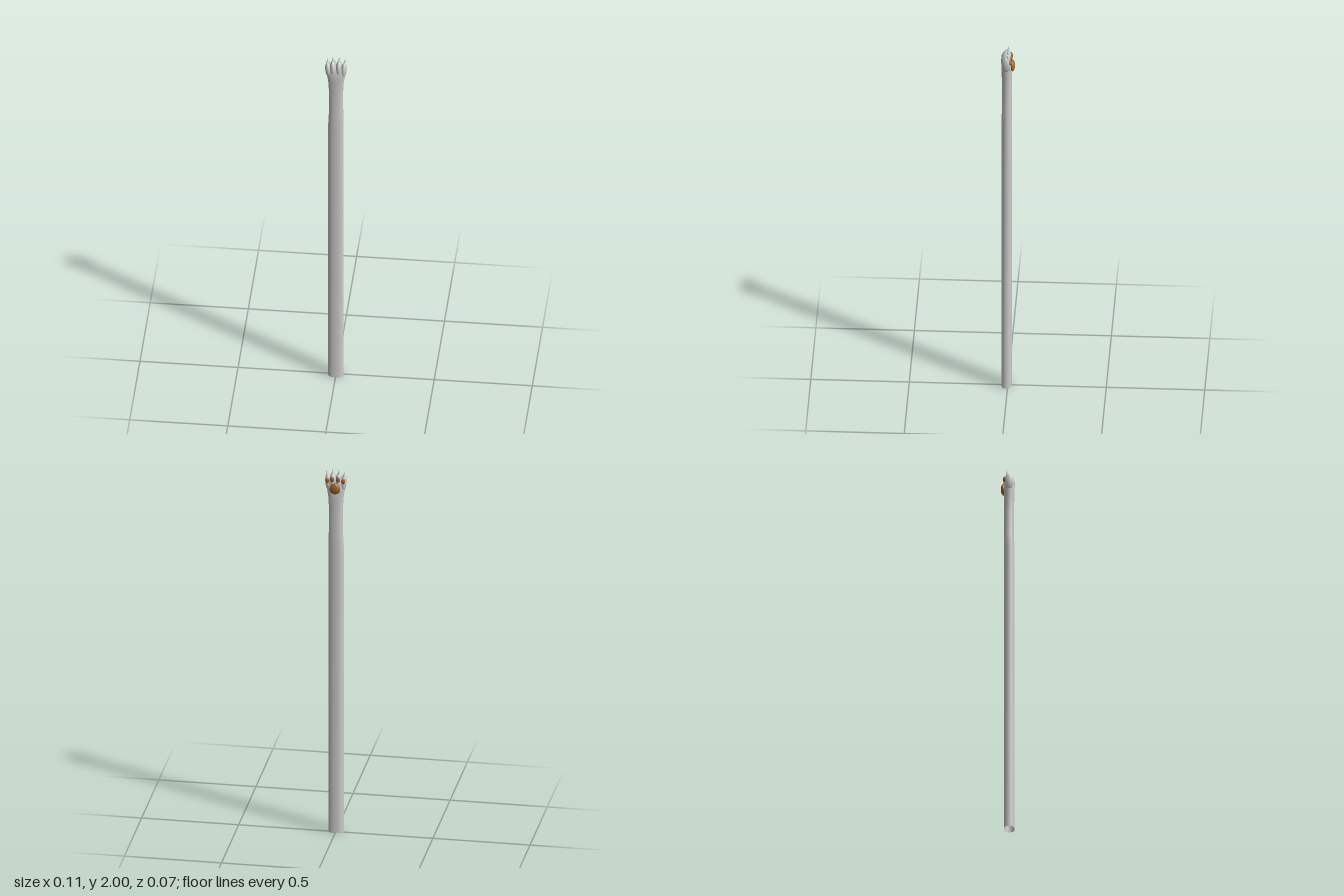
import * as THREE from 'three';

const fur = new THREE.MeshStandardMaterial({ color: 0xcccccc, side: THREE.DoubleSide });
const padMat = new THREE.MeshStandardMaterial({ color: 0xa0642c });

// Skin through rounded cross-sections [y, halfWidth, halfDepth, centreX, centreZ]
function loft(sections, sides, power) {
  const pos = [], idx = [];
  const bend = v => Math.sign(v) * Math.pow(Math.abs(v), 2 / power);
  sections.forEach(([y, rx, rz, cx, cz], j) => {
    for (let i = 0; i < sides; i++) {
      const a = (i / sides) * Math.PI * 2;
      pos.push(cx + rx * bend(Math.cos(a)), y, cz + rz * bend(Math.sin(a)));
      if (j === 0) continue;
      const p = (j - 1) * sides + i, q = (j - 1) * sides + (i + 1) % sides;
      idx.push(p, p + sides, q, q, p + sides, q + sides);
    }
  });
  const g = new THREE.BufferGeometry();
  g.setAttribute('position', new THREE.Float32BufferAttribute(pos, 3));
  g.setIndex(idx);
  g.computeVertexNormals();
  return g;
}

function add(parent, name, geometry, material, [x, y, z] = [0, 0, 0]) {
  const mesh = new THREE.Mesh(geometry, material);
  mesh.name = name;
  mesh.position.set(x, y, z);
  parent.add(mesh);
  return mesh;
}

const ellipsoid = (rx, ry, rz) => new THREE.SphereGeometry(1, 20, 14).scale(rx, ry, rz);

export function createModel() {
  const model = new THREE.Group();
  model.name = 'pawArm';

  // Long arm, open at the bottom, flaring into the palm
  add(model, 'arm', loft([
    [0, 0.04, 0.027, -0.001, 0.006],
    [0.8, 0.04, 0.027, -0.001, 0.006],
    [1.56, 0.04, 0.027, -0.001, 0.006],
    [1.64, 0.037, 0.025, 0, 0.004],
    [1.78, 0.036, 0.025, 0, 0.004],
    [1.84, 0.039, 0.026, 0, 0.005],
    [1.88, 0.045, 0.027, 0, 0.006],
    [1.91, 0.048, 0.026, 0, 0.006],
    [1.935, 0.046, 0.021, 0, 0.005],
    [1.95, 0.034, 0.012, 0, 0.003],
    [1.955, 0.001, 0.001, 0, 0.002],
  ], 16, 2.4), fur);

  // Four toes fanned across the paw, each with a claw and a pad
  for (const side of [-1, 1]) {
    for (const outer of [false, true]) {
      const toe = new THREE.Group();
      toe.name = (side > 0 ? 'left' : 'right') + (outer ? 'Outer' : 'Inner') + 'Toe';
      const x = side * (outer ? 0.039 : 0.0145), y = outer ? 1.923 : 1.932;
      toe.position.set(x, y, 0.006);
      toe.rotation.z = -side * (outer ? 0.1 : 0.03);
      add(toe, 'toe', ellipsoid(outer ? 0.0155 : 0.0165, 0.046, outer ? 0.0225 : 0.028), fur);
      add(toe, 'claw', new THREE.ConeGeometry(0.0075, 0.036, 12), fur, [0, 0.05, -0.008]);
      add(toe, 'toePad', ellipsoid(0.0105, 0.015, 0.007), padMat, [0, 0.016, outer ? -0.021 : -0.025]);
      model.add(toe);
    }
  }

  // Large palm pad on the back
  const palm = ellipsoid(0.027, 0.03, 0.013);
  const p = palm.attributes.position;
  for (let i = 0; i < p.count; i++) p.setX(i, p.getX(i) * (1 - 5 * p.getY(i)));
  palm.computeVertexNormals();
  add(model, 'palmPad', palm, padMat, [0, 1.9, -0.024]);

  return model;
}
